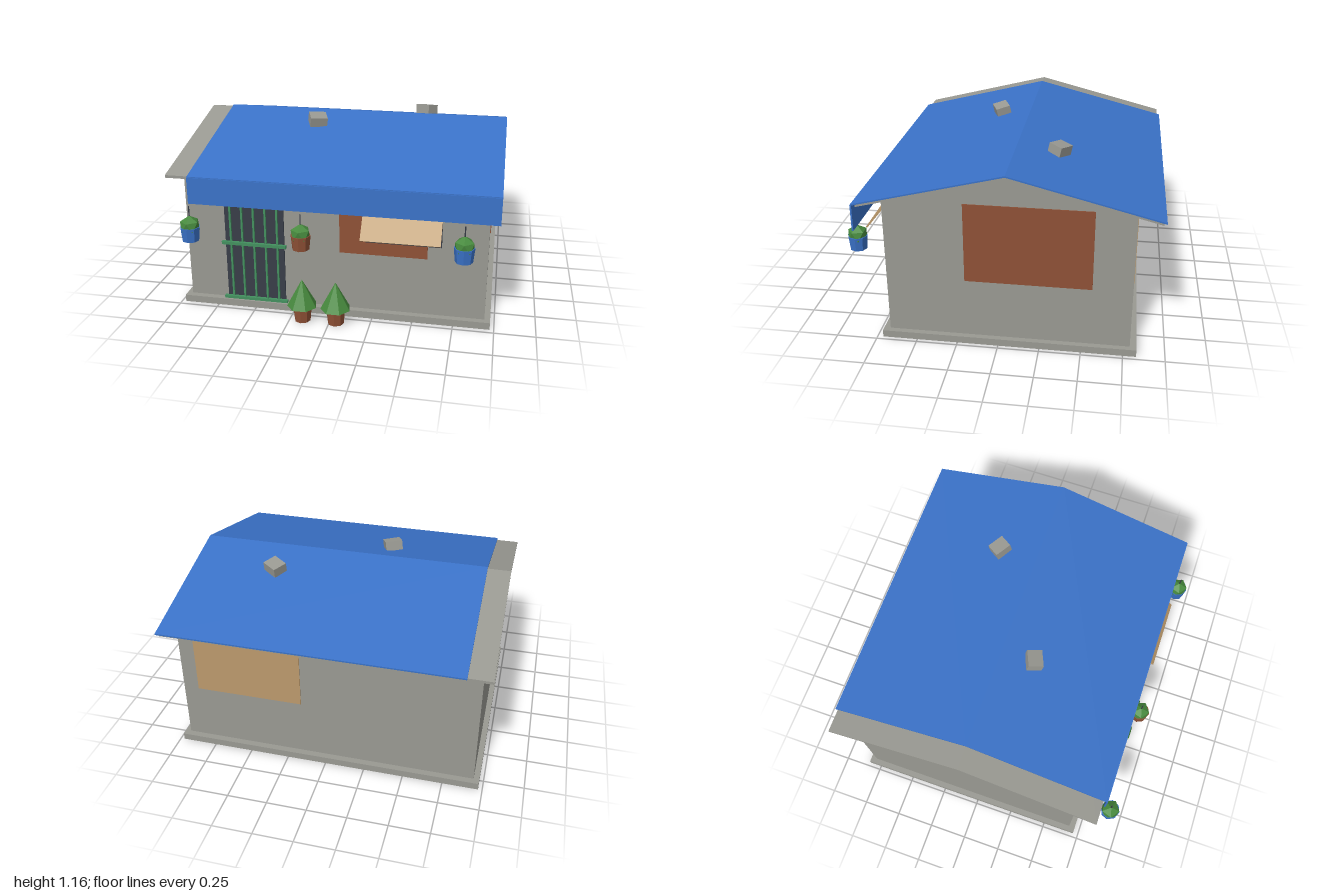
import * as THREE from 'three';

const mat = (name, color, extra = {}) => {
  const m = new THREE.MeshStandardMaterial({ color, ...extra });
  m.name = name;
  m.flatShading = true;
  return m;
};

export function createModel() {
  const model = new THREE.Group();
  model.name = 'house';

  const stone = mat('stone grey', 0x999992);
  const blue = mat('roof blue', 0x3a72c8);
  const rust = mat('rust brown', 0x8f5136);
  const tan = mat('tan', 0xbc9a6c);
  const dark = mat('dark slate', 0x383d48);
  const barGreen = mat('bar green', 0x43905f);
  const leaf = mat('leaf green', 0x478a3e);

  const add = (name, geometry, material, parent = model) => {
    const m = new THREE.Mesh(geometry, material);
    m.name = name;
    parent.add(m);
    return m;
  };
  // Box given by its minimum and maximum corners
  const box = (name, material, [x0, y0, z0], [x1, y1, z1], parent) =>
    add(name, new THREE.BoxGeometry(x1 - x0, y1 - y0, z1 - z0)
      .translate((x0 + x1) / 2, (y0 + y1) / 2, (z0 + z1) / 2), material, parent);
  // Profile in (z, y) extruded along x
  const alongX = (name, material, points, x0, x1) => {
    const shape = new THREE.Shape(points.map(p => new THREE.Vector2(...p)));
    const g = new THREE.ExtrudeGeometry(shape, { depth: x1 - x0, bevelEnabled: false });
    return add(name, g.rotateY(-Math.PI / 2).translate(x1, 0, 0), material);
  };

  // Plinth and gabled walls
  const ridge = -0.055, slope = 0.2528;
  const roofY = (z, top) => top - Math.abs(z - ridge) * slope;
  box('plinth', stone, [-0.975, 0, -0.83], [0.975, 0.045, 0.715]);
  alongX('walls', stone, [
    [-0.79, 0.04], [0.675, 0.04], [0.675, roofY(0.675, 1.105)],
    [ridge, 1.105], [-0.79, roofY(-0.79, 1.105)],
  ], -0.94, 0.94);

  // Roof slab with the blue covering on top
  const roof = (name, material, top, thick, zBack, zFront, x0, x1) =>
    alongX(name, material, [
      [zBack, roofY(zBack, top - thick)], [ridge, top - thick], [zFront, roofY(zFront, top - thick)],
      [zFront, roofY(zFront, top)], [ridge, top], [zBack, roofY(zBack, top)],
    ], x0, x1);
  roof('roofSlab', stone, 1.119, 0.017, -0.93, 0.815, -1, 0.985);
  roof('roofCover', blue, 1.13, 0.009, -0.945, 0.835, -0.855, 1);
  box('valance', blue, [-0.855, 0.735, 0.831], [1, 0.9, 0.841]);

  // Loose blocks lying on the roof
  [
    [-0.21, 1.11, 0.15, 0.25, 0.38, -0.17],
    [0.455, 1.095, -0.31, -0.2, -0.6, 0],
  ].forEach(([x, y, z, rx, ry, rz]) => {
    const b = add('roofBlock', new THREE.BoxGeometry(0.11, 0.062, 0.095), stone);
    b.position.set(x, y, z);
    b.rotation.set(rx, ry, rz);
  });

  // Painted wall panels
  box('sidePanel', rust, [0.938, 0.42, -0.555], [0.945, 0.92, 0.2]);
  box('backPanel', tan, [0.16, 0.42, -0.796], [0.84, 0.92, -0.788]);
  box('frontPanel', rust, [0.04, 0.42, 0.674], [0.58, 0.86, 0.682]);

  // Window with sloping awning
  box('window', dark, [0.205, 0.505, 0.682], [0.665, 0.815, 0.691]);
  alongX('awning', tan, [
    [0.69, 0.81], [0.868, 0.588], [0.876, 0.594], [0.698, 0.817],
  ], 0.2, 0.67);

  // Barred door
  const door = new THREE.Group();
  door.name = 'door';
  model.add(door);
  box('doorPanel', dark, [-0.69, 0.045, 0.674], [-0.31, 0.86, 0.683], door);
  for (let i = 0; i < 5; i++) {
    const x = -0.652 + i * 0.075;
    box('doorBar', barGreen, [x - 0.006, 0.045, 0.683], [x + 0.006, 0.855, 0.695], door);
  }
  for (const y of [0.053, 0.431, 0.845]) {
    box('crossBar', barGreen, [-0.71, y - 0.01, 0.683], [-0.295, y + 0.01, 0.703], door);
  }

  // Hanging planters
  const bushGeo = new THREE.IcosahedronGeometry(0.064, 0).rotateX(-Math.atan((1 + Math.sqrt(5)) / 2));
  [[-0.835, blue], [-0.15, rust], [0.805, blue]].forEach(([x, material]) => {
    const planter = new THREE.Group();
    planter.name = 'hangingPlanter';
    planter.position.set(x, 0, 0.882);
    add('pot', new THREE.CylinderGeometry(0.061, 0.052, 0.088, 8).translate(0, 0.562, 0), material, planter);
    add('bush', bushGeo.clone().translate(0, 0.612, 0), leaf, planter);
    add('cord', new THREE.CylinderGeometry(0.004, 0.004, 0.07, 5).translate(0, 0.7, 0), dark, planter);
    model.add(planter);
  });

  // Potted trees on the ground
  for (const x of [-0.17, 0.04]) {
    const tree = new THREE.Group();
    tree.name = 'pottedTree';
    tree.position.set(x, 0, 0.805);
    add('pot', new THREE.CylinderGeometry(0.06, 0.05, 0.105, 8).translate(0, 0.0525, 0), rust, tree);
    add('crown', new THREE.ConeGeometry(0.094, 0.175, 7).rotateY(Math.PI / 7).translate(0, 0.1875, 0), leaf, tree);
    model.add(tree);
  }

  return model;
}
